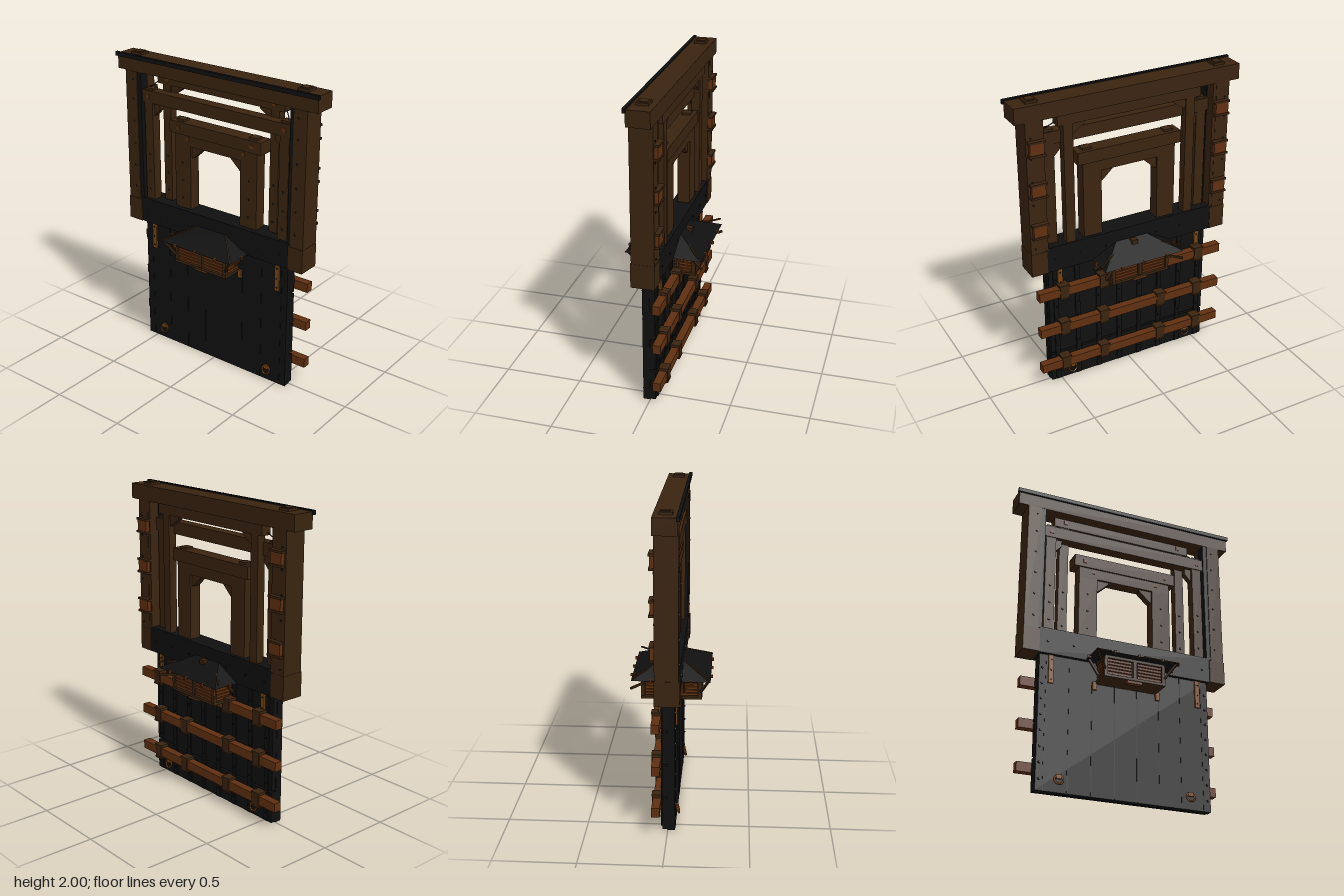
import * as THREE from 'three';

const mat = (name, color) => {
  const m = new THREE.MeshStandardMaterial({ color });
  m.name = name;
  return m;
};

export function createModel() {
  const root = new THREE.Group();
  root.name = 'gate';
  const wood = mat('dark wood', 0x3a2410);
  const iron = mat('black iron', 0x101011);
  const rust = mat('red brown wood', 0x602f11);
  const copper = mat('copper', 0x784413);

  const add = (name, geo, m, parent = root) => {
    const mesh = new THREE.Mesh(geo, m);
    mesh.name = name;
    parent.add(mesh);
    return mesh;
  };
  // Box given by its limits on each axis
  const box = (name, m, x0, x1, y0, y1, z0, z1, parent = root) => {
    const mesh = add(name, new THREE.BoxGeometry(x1 - x0, y1 - y0, z1 - z0), m, parent);
    mesh.position.set((x0 + x1) / 2, (y0 + y1) / 2, (z0 + z1) / 2);
    return mesh;
  };
  // The same box on both sides of x = 0
  const pair = (name, m, x0, x1, y0, y1, z0, z1, parent = root) => {
    box(name, m, x0, x1, y0, y1, z0, z1, parent);
    box(name, m, -x1, -x0, y0, y1, z0, z1, parent);
  };
  // Flat polygon in x, y with thickness in z, mirrored
  const platePair = (name, m, pts, z0, z1, parent = root) => {
    for (const s of [1, -1]) {
      const shape = new THREE.Shape(pts.map(([x, y]) => new THREE.Vector2(s * x, y)));
      const geo = new THREE.ExtrudeGeometry(shape, { depth: z1 - z0, bevelEnabled: false });
      add(name, geo, m, parent).position.z = z0;
    }
  };
  // Square bar between two points
  const bar = (name, m, a, b, w, parent) => {
    const p = new THREE.Vector3(...a), q = new THREE.Vector3(...b);
    const mesh = add(name, new THREE.BoxGeometry(w, w, p.distanceTo(q)), m, parent);
    mesh.position.copy(p).lerp(q, 0.5);
    mesh.lookAt(q);
    return mesh;
  };
  const studGeo = new THREE.CylinderGeometry(0.006, 0.008, 0.006, 6).rotateX(Math.PI / 2);
  const stud = (m, x, y, z) => {
    for (const s of x ? [1, -1] : [1]) add('stud', studGeo, m).position.set(s * x, y, z);
  };

  // Outer frame
  box('topBeam', wood, -0.755, 0.755, 1.88, 1.98, -0.075, 0.068);
  box('topStrip', iron, -0.765, 0.765, 1.962, 1.988, 0.062, 0.082);
  pair('beamPeg', wood, 0.592, 0.668, 1.97, 1.995, -0.04, 0.037);
  pair('beamPegTop', wood, 0.605, 0.655, 1.99, 2, -0.03, 0.025);
  pair('outerPost', wood, 0.598, 0.69, 1.01, 1.88, -0.07, 0.072);
  pair('postFoot', wood, 0.585, 0.692, 0.86, 1.015, -0.072, 0.077);
  pair('postLining', iron, 0.57, 0.6, 1.02, 1.88, 0.0, 0.066);
  pair('postInner', wood, 0.575, 0.6, 1.02, 1.88, -0.068, 0.0);
  for (const y of [1.1, 1.25, 1.4, 1.55, 1.7, 1.83]) {
    stud(iron, 0.63, y, 0.073);
    stud(iron, 0.66, y - 0.05, -0.072);
  }

  // Brackets with short rails on the back of the posts
  for (const y of [1.175, 1.445, 1.715]) {
    pair('backBlock', rust, 0.585, 0.675, y - 0.035, y + 0.035, -0.094, -0.068);
    for (const d of [-0.042, 0.042]) {
      pair('backBracket', wood, 0.575, 0.682, y + d - 0.007, y + d + 0.007, -0.1, -0.068);
    }
  }

  // Iron sill
  box('sill', iron, -0.585, 0.585, 0.86, 1.03, -0.068, 0.07);
  for (const x of [0, 0.18, 0.36, 0.53]) {
    stud(iron, x, 0.94, 0.073);
    stud(iron, x, 0.94, -0.071);
  }

  // Second frame
  box('secondBeam', wood, -0.572, 0.572, 1.69, 1.77, -0.02, 0.055);
  pair('secondPost', wood, 0.49, 0.557, 1.02, 1.69, -0.015, 0.05);
  pair('secondPeg', wood, 0.492, 0.552, 1.768, 1.784, -0.01, 0.045);
  pair('secondPin', rust, 0.51, 0.535, 1.718, 1.743, 0.05, 0.058);
  platePair('secondBrace', wood, [[0.492, 1.6], [0.492, 1.69], [0.445, 1.69], [0.445, 1.65]], -0.01, 0.03);

  // Third frame, behind the second
  box('thirdBeam', wood, -0.485, 0.485, 1.815, 1.877, -0.065, 0.0);
  pair('thirdPost', wood, 0.385, 0.447, 1.02, 1.815, -0.06, -0.005);
  pair('thirdPin', rust, 0.398, 0.422, 1.84, 1.865, -0.005, 0.004);
  platePair('thirdBrace', wood, [[0.387, 1.74], [0.387, 1.82], [0.3, 1.82], [0.3, 1.8]], -0.05, -0.015);
  for (const s of [1, -1]) bar('tieRod', iron, [s * 0.535, 1.78, 0.02], [s * 0.475, 1.84, -0.03], 0.005);

  // Inner doorway
  box('innerTopBeam', wood, -0.355, 0.355, 1.53, 1.61, -0.055, 0.045);
  box('innerLintel', wood, -0.32, 0.32, 1.46, 1.532, -0.045, 0.035);
  pair('innerPost', wood, 0.195, 0.32, 1.02, 1.46, -0.045, 0.035);
  pair('innerPeg', wood, 0.252, 0.312, 1.608, 1.623, -0.03, 0.025);
  pair('upperPin', rust, 0.273, 0.297, 1.558, 1.582, 0.04, 0.049);
  pair('lowerPin', rust, 0.206, 0.23, 1.494, 1.518, 0.03, 0.039);
  platePair('innerBrace', wood, [[0.197, 1.38], [0.197, 1.465], [0.11, 1.465], [0.11, 1.45], [0.18, 1.385]], -0.03, 0.02);
  for (const y of [1.1, 1.22, 1.34]) {
    stud(iron, 0.26, y, 0.036);
    stud(iron, 0.415, y, -0.003);
    stud(iron, 0.523, y, 0.052);
  }

  // Iron door: front plate, boards and ribs behind
  box('doorPlate', iron, -0.572, 0.572, 0, 0.87, 0.0, 0.045);
  for (let i = 0; i < 4; i++) {
    box('doorBoard', iron, -0.57, 0.57, i * 0.218 + 0.005, i * 0.218 + 0.209, -0.033, 0.0);
  }
  for (let i = 0; i < 8; i++) {
    const x = -0.525 + i * 0.15;
    box('doorRib', iron, x - 0.016, x + 0.016, 0.01, 0.86, -0.042, -0.03);
    box('doorSeam', iron, x - 0.003, x + 0.003, 0.005, 0.86, 0.044, 0.047);
  }
  for (let i = 0; i < 8; i++) {
    stud(iron, 0.552, 0.07 + i * 0.1, 0.048);
    for (const x of [0.075, 0.225, 0.375, 0.525]) stud(iron, x, 0.07 + i * 0.1, -0.045);
  }

  // Locking bars across the back with clamps
  for (const y of [0.16, 0.432, 0.703]) {
    box('lockBar', rust, -0.66, 0.66, y - 0.03, y + 0.03, -0.094, -0.043);
    for (const x of [0.21, 0.49]) {
      pair('clamp', wood, x - 0.03, x + 0.03, y - 0.042, y + 0.042, -0.1, -0.038);
      for (const d of [-0.045, 0.045]) {
        pair('clampLip', wood, x - 0.034, x + 0.034, y + d - 0.005, y + d + 0.005, -0.102, -0.038);
      }
    }
  }

  // Canopy, straps and rings, the same on front and back
  for (const turn of [0, Math.PI]) {
    const g = new THREE.Group();
    g.name = turn ? 'backFittings' : 'frontFittings';
    g.rotation.y = turn;
    root.add(g);

    // Hipped roof: a box whose top is drawn in
    const roofGeo = new THREE.BoxGeometry(0.56, 0.088, 0.2).toNonIndexed();
    const p = roofGeo.attributes.position;
    for (let i = 0; i < p.count; i++) {
      if (p.getY(i) < 0) continue;
      p.setX(i, p.getX(i) * 0.4);
      if (p.getZ(i) > 0) p.setZ(i, -0.075);
    }
    roofGeo.computeVertexNormals();
    add('roof', roofGeo, iron, g).position.set(0, 0.906, 0.146);
    for (const s of [1, -1]) {
      bar('roofHip', wood, [s * 0.276, 0.864, 0.243], [s * 0.115, 0.95, 0.073], 0.009, g);
      bar('roofArm', wood, [s * 0.2, 0.77, 0.185], [s * 0.262, 0.862, 0.232], 0.013, g);
      bar('sideArm', wood, [s * 0.2, 0.77, 0.08], [s * 0.262, 0.862, 0.08], 0.013, g);
    }
    for (const x of [-0.16, 0, 0.16]) box('roofPeg', rust, x - 0.006, x + 0.006, 0.852, 0.87, 0.232, 0.258, g);
    pair('roofSidePeg', rust, 0.268, 0.29, 0.852, 0.87, 0.119, 0.131, g);

    // Slatted box under the roof
    box('boxCore', wood, -0.18, 0.18, 0.735, 0.865, 0.04, 0.172, g);
    box('boxBase', wood, -0.205, 0.205, 0.72, 0.737, 0.04, 0.192, g);
    box('boxRail', wood, -0.2, 0.2, 0.845, 0.863, 0.04, 0.188, g);
    pair('boxCorner', wood, 0.182, 0.204, 0.735, 0.85, 0.166, 0.19, g);
    box('boxMiddle', wood, -0.012, 0.012, 0.735, 0.85, 0.166, 0.188, g);
    box('boxLatch', rust, -0.05, 0.05, 0.703, 0.72, 0.15, 0.185, g);
    for (let i = 0; i < 5; i++) {
      const y = 0.742 + i * 0.021;
      pair('frontSlat', rust, 0.018, 0.178, y, y + 0.015, 0.168, 0.182, g);
      pair('sideSlat', rust, 0.176, 0.196, y, y + 0.015, 0.05, 0.162, g);
    }
    pair('boxHanger', copper, 0.2, 0.227, 0.677, 0.73, 0.043, 0.06, g);

    // Upright straps
    pair('strap', copper, 0.482, 0.514, 0.675, 0.858, 0.043, 0.056, g);
    for (const y of [0.7, 0.76, 0.83]) pair('strapNail', iron, 0.494, 0.502, y - 0.004, y + 0.004, 0.055, 0.06, g);

    // Ring pulls
    for (const s of [1, -1]) {
      const ring = add('ringPull', new THREE.TorusGeometry(0.028, 0.006, 6, 12), copper, g);
      ring.position.set(s * 0.43, 0.076, 0.056);
      ring.rotation.x = -0.25;
      box('ringMount', copper, s * 0.43 - 0.016, s * 0.43 + 0.016, 0.082, 0.108, 0.04, 0.058, g);
    }
  }

  // Small catch on the rear roof
  box('roofCatch', wood, -0.02, 0.02, 0.92, 0.955, -0.118, -0.08);
  return root;
}
